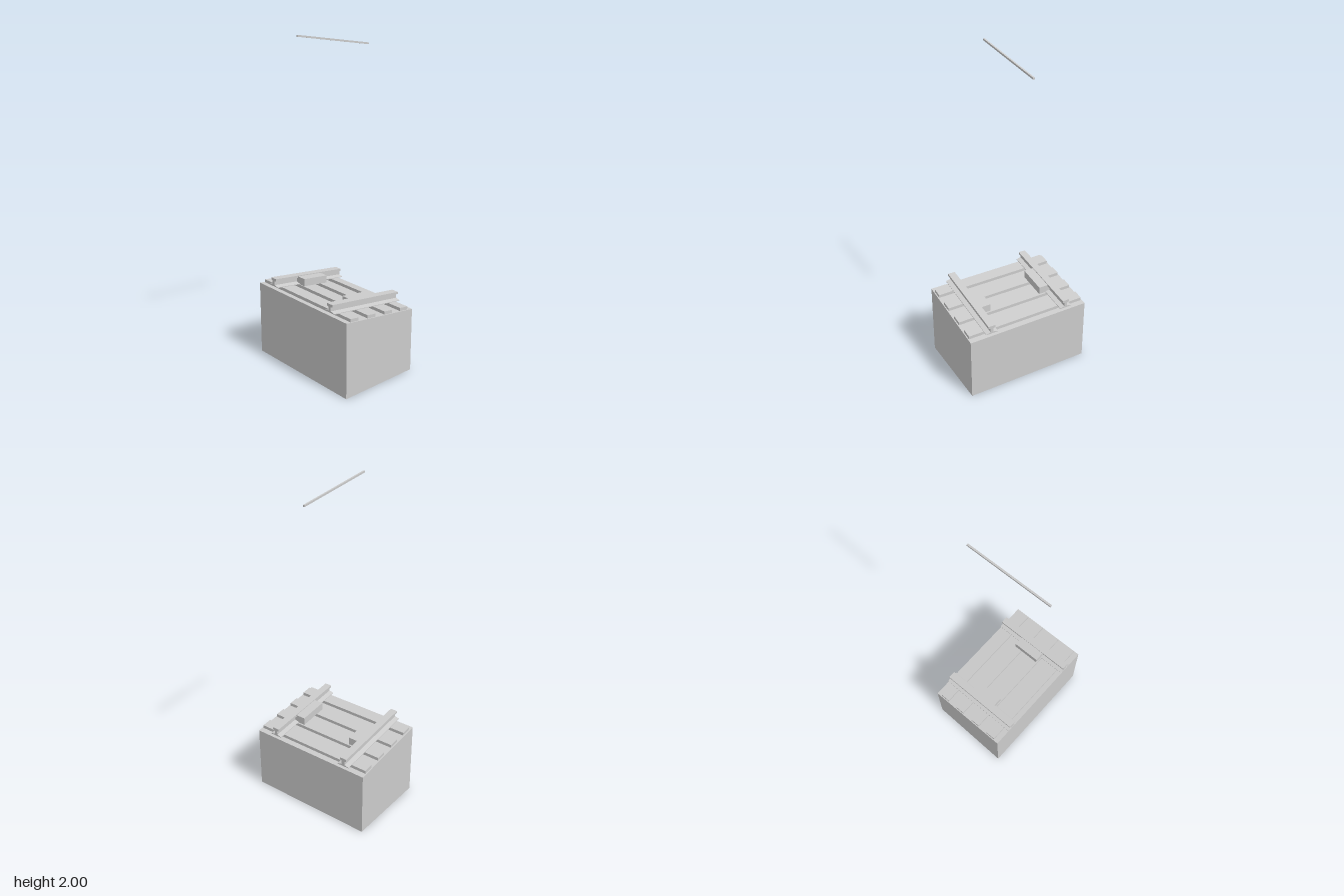
import * as THREE from 'three';

const SLOPE = 0.127;   // rise of the track per unit of z
const LENGTH = 0.528;

export function createModel() {
  const model = new THREE.Group();
  const material = new THREE.MeshStandardMaterial({ color: 0xcccccc, flatShading: true });

  // Tilts everything above the ground along the slope, keeping vertical faces vertical
  function add(name, geometry) {
    const p = geometry.attributes.position;
    for (let i = 0; i < p.count; i++) {
      if (p.getY(i) > 0.001) p.setY(i, p.getY(i) + SLOPE * p.getZ(i));
    }
    geometry.computeVertexNormals();
    const mesh = new THREE.Mesh(geometry, material);
    mesh.name = name;
    model.add(mesh);
  }

  // Box given by its limits, with heights measured at z = 0
  function box(name, x0, x1, y0, y1, z0, z1) {
    const g = new THREE.BoxGeometry(x1 - x0, y1 - y0, z1 - z0);
    g.translate((x0 + x1) / 2, (y0 + y1) / 2, (z0 + z1) / 2);
    add(name, g);
  }

  const half = LENGTH / 2;
  box('trackBed', -0.4, 0.4, 0, 0.433, -half, half);

  // Four cross sleepers
  [-0.199, -0.069, 0.066, 0.198].forEach((z) =>
    box('sleeper', -0.393, 0.393, 0.432, 0.4525, z - 0.031, z + 0.031));

  // Rails: sloped foot, thin web and square head
  const right = [
    [0.039, 0.4525], [0.039, 0.456], [0.01, 0.463],
    [0.01, 0.487], [0.023, 0.491], [0.023, 0.505],
  ];
  const left = right.map(([x, y]) => [-x, y]).reverse();
  const outline = [...right, ...left].map(([x, y]) => new THREE.Vector2(x, y));
  for (const side of [-1, 1]) {
    const rail = new THREE.ExtrudeGeometry(new THREE.Shape(outline), { depth: LENGTH, bevelEnabled: false });
    rail.translate(side * 0.258, 0, -half);
    add(side > 0 ? 'leftRail' : 'rightRail', rail);

    // Block against the inner side of the rail
    const a = side * 0.174, b = side * 0.249;
    box('railBlock', Math.min(a, b), Math.max(a, b), 0.4525, 0.5, -0.091, 0.091);
  }

  // Overhead wire
  box('overheadWire', -0.005, 0.005, 1.956, 1.9665, -half, half);

  return model;
}
